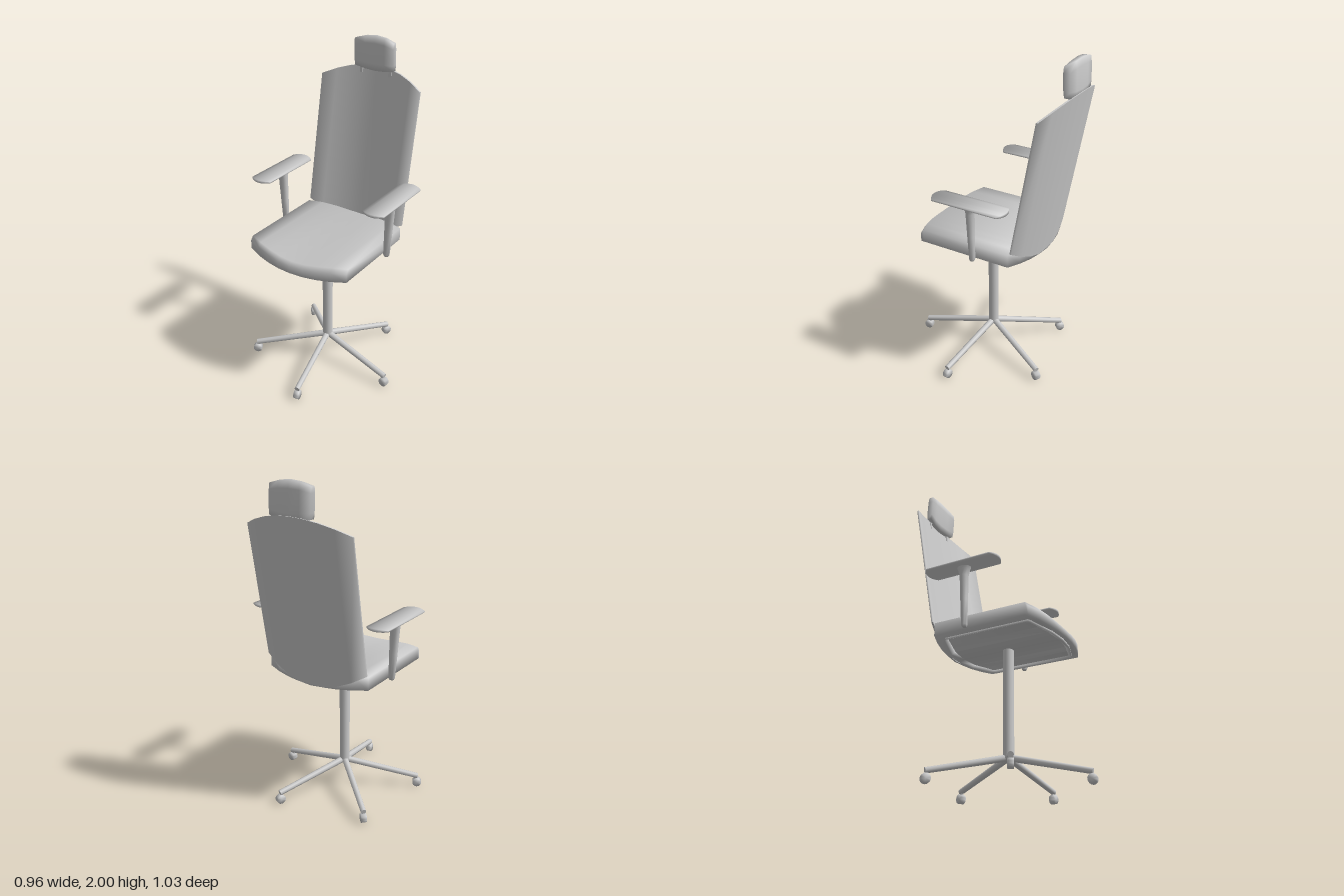
import * as THREE from 'three';
import { toCreasedNormals, mergeGeometries } from 'three/addons/utils/BufferGeometryUtils.js';

const material = new THREE.MeshStandardMaterial({ color: 0xcccccc });
const bow = (u) => 1 - u * u;
const mix = THREE.MathUtils.lerp;
const steps = (n) => Array.from({ length: n + 1 }, (_, i) => (2 * i) / n - 1);

function add(parent, name, geometry) {
  const mesh = new THREE.Mesh(geometry, material);
  mesh.name = name;
  parent.add(mesh);
  return mesh;
}

function smooth(positions, angle = Math.PI) {
  const g = new THREE.BufferGeometry();
  g.setAttribute('position', new THREE.Float32BufferAttribute(positions, 3));
  return toCreasedNormals(g, angle);
}

// Closed slab between an outer and an inner surface; us and vs run from -1 to 1.
// Shading flows around the edges, except at the v ends when sharpEnds is set.
function slab(us, vs, outer, inner, sharpEnds = false) {
  const body = [];
  const ends = sharpEnds ? [] : body;
  const nu = us.length - 1;
  const nv = vs.length - 1;
  const at = (f, i, j) => f(us[i], vs[j]);
  const quad = (out, a, b, c, d) => out.push(...a, ...b, ...c, ...a, ...c, ...d);
  const wall = (out, i, j, k, l) => quad(out, at(outer, i, j), at(inner, i, j), at(inner, k, l), at(outer, k, l));
  for (let i = 0; i < nu; i++) {
    for (let j = 0; j < nv; j++) {
      quad(body, at(outer, i, j), at(outer, i, j + 1), at(outer, i + 1, j + 1), at(outer, i + 1, j));
      quad(body, at(inner, i, j), at(inner, i + 1, j), at(inner, i + 1, j + 1), at(inner, i, j + 1));
    }
    wall(ends, i, nv, i + 1, nv);
    wall(ends, i + 1, 0, i, 0);
  }
  for (let j = 0; j < nv; j++) {
    wall(body, 0, j, 0, j + 1);
    wall(body, nu, j + 1, nu, j);
  }
  return sharpEnds ? mergeGeometries([smooth(body), smooth(ends, 0.5)]) : smooth(body);
}

function createSeat(parent) {
  // Cushion with bowed ends, dipped middle and softened front edge
  const z = (u, v) => 0.0375 + v * (0.2975 + 0.075 * bow(u));
  const top = (u, v) => {
    const dip = 0.028 * Math.cos((u * Math.PI) / 2) ** 2;
    return [u * 0.342, 0.918 - dip - (v > 0.95 ? 0.025 : 0), z(u, v)];
  };
  const under = (u, v) => [u * 0.342, 0.84 - 0.018 * bow(u), z(u, v)];
  add(parent, 'seatCushion', slab(steps(8), [-1, 0.94, 1], top, under));

  // Pan under the cushion with a lowered rim
  const panZ = (u, v) => 0.047 + v * (0.265 + 0.075 * bow(u));
  const panTop = (u, v) => [u * 0.295, 0.842 - 0.018 * bow(u), panZ(u, v)];
  const panUnder = (u, v) => {
    const rim = Math.max(Math.abs(u), Math.abs(v)) > 0.95;
    return [u * 0.295, (rim ? 0.823 : 0.837) - 0.018 * bow(u), panZ(u, v)];
  };
  add(parent, 'seatPan', slab([-1, -0.92, -0.4, 0, 0.4, 0.92, 1], [-1, -0.92, 0.92, 1], panTop, panUnder));
}

function createBack(parent) {
  // Leaning shell wrapped around the sitter
  const shell = (depth) => (u, v) => {
    const y = mix(1.735 + 0.083 * bow(u), 0.93 - 0.113 * bow(u), (v + 1) / 2);
    return [u * 0.342, y, -0.263 - 0.07 * bow(u) - 0.18 * (y - 0.815) + depth];
  };
  add(parent, 'backrest', slab(steps(8), [-1, 1], shell(0.012), shell(0), true));

  // Headrest pad on two short stems
  const head = (side) => (u, v) => {
    const y = mix(1.975 + 0.025 * bow(u), 1.81 - 0.02 * bow(u), (v + 1) / 2);
    const half = 0.021 - 0.007 * v * v;
    return [u * 0.133, y, -0.476 - 0.012 * bow(u) - 0.004 * v + side * half];
  };
  add(parent, 'headrest', slab(steps(4), [-1, -0.6, 0.6, 1], head(1), head(-1)));
  for (const s of [-1, 1]) {
    const stem = add(parent, 'headrestStem', new THREE.BoxGeometry(0.02, 0.07, 0.01));
    stem.position.set(s * 0.1, 1.8, -0.489);
  }
}

function createArm(side) {
  const arm = new THREE.Group();
  arm.name = side > 0 ? 'leftArm' : 'rightArm';
  arm.position.x = 0.003;
  const padZ = (u, v) => -0.05 + v * (0.208 + 0.027 * bow(u));
  const pad = (y, crown) => (u, v) => [side * 0.394 + u * 0.069, y + crown * bow(u), padZ(u, v)];
  add(arm, 'armPad', slab(steps(6), [-1, 1], pad(1.214, 0.006), pad(1.206, -0.003)));

  // Post rings: height, centre x, half width, half depth
  const rings = [[1.208, 0.388, 0.034, 0.046], [1.19, 0.387, 0.032, 0.036], [1.15, 0.385, 0.03, 0.024],
    [1.0, 0.378, 0.025, 0.021], [0.85, 0.371, 0.02, 0.017], [0.838, 0.37, 0.015, 0.012]];
  const g = new THREE.CylinderGeometry(1, 1, 1, 12, rings.length - 1);
  const p = g.attributes.position;
  for (let i = 0; i < p.count; i++) {
    const [y, cx, w, d] = rings[Math.round((0.5 - p.getY(i)) * (rings.length - 1))];
    p.setXYZ(i, side * cx + p.getX(i) * w, y, -0.046 + p.getZ(i) * d);
  }
  add(arm, 'armPost', toCreasedNormals(g, 1.2));
  return arm;
}

function createBase() {
  const base = new THREE.Group();
  base.name = 'base';
  base.position.set(-0.015, 0, 0.033);
  add(base, 'column', new THREE.CylinderGeometry(0.032, 0.032, 0.66, 16)).position.y = 0.5;
  for (let i = 0; i < 5; i++) {
    const spoke = new THREE.Group();
    spoke.name = 'spoke';
    spoke.rotation.y = -THREE.MathUtils.degToRad(7 + 72 * i);
    base.add(spoke);
    // Sloping leg
    const start = new THREE.Vector3(0, 0.178, 0);
    const end = new THREE.Vector3(0.468, 0.07, 0);
    const dir = end.clone().sub(start);
    const leg = add(spoke, 'leg', new THREE.CylinderGeometry(0.017, 0.02, dir.length(), 8));
    leg.position.copy(start).add(end).multiplyScalar(0.5);
    leg.quaternion.setFromUnitVectors(new THREE.Vector3(0, 1, 0), dir.normalize());
    // Caster
    const wheel = add(spoke, 'casterWheel', toCreasedNormals(new THREE.CylinderGeometry(0.028, 0.028, 0.032, 14), Math.PI));
    wheel.rotation.x = Math.PI / 2;
    wheel.position.set(0.464, 0.028, 0);
    const stem = add(spoke, 'casterStem', new THREE.CylinderGeometry(0.008, 0.008, 0.03, 8));
    stem.position.set(0.455, 0.056, 0);
  }
  return base;
}

export function createModel() {
  const model = new THREE.Group();
  model.name = 'officeChair';
  const upper = new THREE.Group();
  upper.name = 'upperChair';
  upper.position.x = -0.021;
  createSeat(upper);
  createBack(upper);
  upper.add(createArm(1), createArm(-1));
  model.add(upper, createBase());
  return model;
}
